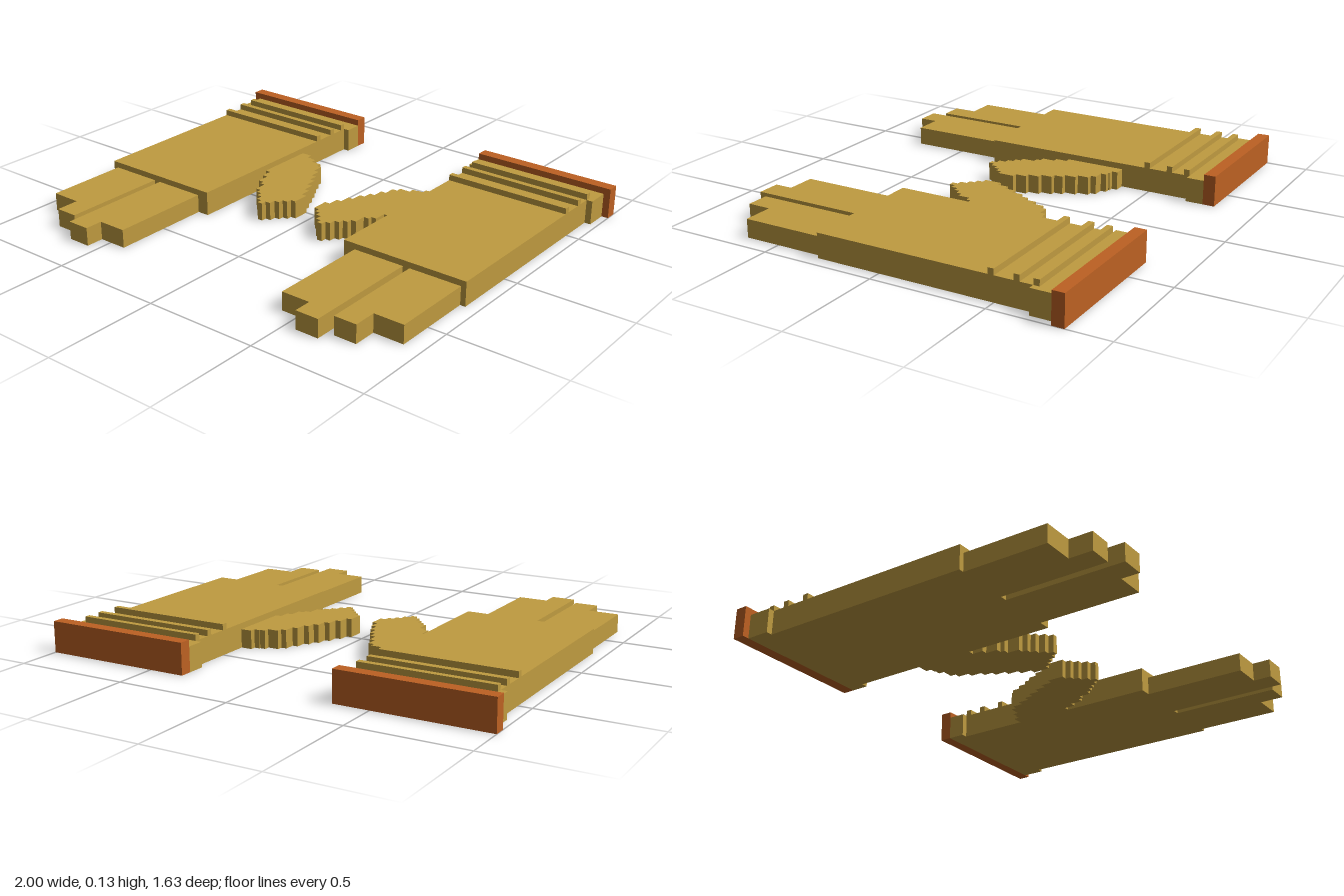
import * as THREE from 'three';

const wool = new THREE.MeshStandardMaterial({ color: 0xbf9b40 });
wool.name = 'mustardWool';
const trim = new THREE.MeshStandardMaterial({ color: 0xbd6123 });
trim.name = 'rustTrim';

// Slab with an [x, z] outline, from y0 to y1; side = 1 or -1 mirrors it in x
function slab(name, outline, y0, y1, side, material = wool) {
  const shape = new THREE.Shape(outline.map(([x, z]) => new THREE.Vector2(x * side, z)));
  const geometry = new THREE.ExtrudeGeometry(shape, { depth: y1 - y0, bevelEnabled: false });
  geometry.rotateX(Math.PI / 2).translate(0, y1, 0);
  const mesh = new THREE.Mesh(geometry, material);
  mesh.name = name;
  return mesh;
}

const rect = (x0, x1, z0, z1) => [[x0, z0], [x1, z0], [x1, z1], [x0, z1]];

// Stepped thumb outline: one [back, front] z pair per column, from tip to palm
function thumbOutline() {
  const columns = [
    [0, 0.075], [-0.05, 0.1], [-0.1, 0.125], [-0.15, 0.155], [-0.19, 0.18],
    [-0.24, 0.155], [-0.29, 0.125], [-0.315, 0.1], [-0.315, 0.075],
    [-0.34, 0.02], [-0.345, 0], [-0.37, -0.055], [-0.37, -0.105],
  ];
  const x0 = 0.052, step = (0.37 - x0) / columns.length;
  const back = [], front = [];
  columns.forEach(([b, f], i) => {
    const xa = x0 + i * step, xb = xa + step;
    back.push([xa, b], [xb, b]);
    front.push([xa, f], [xb, f]);
  });
  return [...back, ...front.reverse()];
}

function makeMitten(side) {
  const mitten = new THREE.Group();
  mitten.name = side > 0 ? 'leftGlove' : 'rightGlove';

  // Palm and wrist
  mitten.add(slab('palm', rect(0.37, 0.943, -0.66, 0.285), 0, 0.106, side));
  mitten.add(slab('cuff', [
    [0.343, -0.763], [0.97, -0.763], [0.97, -0.66], [0.37, -0.66], [0.37, -0.686], [0.343, -0.686],
  ], 0, 0.106, side));
  mitten.add(slab('cuffEdge', rect(0.343, 1, -0.815, -0.763), 0, 0.134, side, trim));

  // Raised ribs across the wrist
  for (const z of [-0.686, -0.606, -0.501]) {
    mitten.add(slab('wristRib', rect(0.37, 0.943, z, z + 0.025), 0.106, 0.132, side));
  }

  // Two wide fingers with stepped tips
  mitten.add(slab('innerFinger', [
    [0.423, 0.285], [0.655, 0.285], [0.655, 0.812], [0.552, 0.812], [0.552, 0.733], [0.423, 0.733],
  ], 0, 0.08, side));
  mitten.add(slab('outerFinger', [
    [0.686, 0.285], [0.92, 0.285], [0.92, 0.655], [0.786, 0.655], [0.786, 0.758], [0.686, 0.758],
  ], 0, 0.08, side));

  mitten.add(slab('thumb', thumbOutline(), 0, 0.08, side));
  return mitten;
}

export function createModel() {
  const model = new THREE.Group();
  model.name = 'pairOfGloves';
  model.add(makeMitten(1), makeMitten(-1));
  return model;
}
